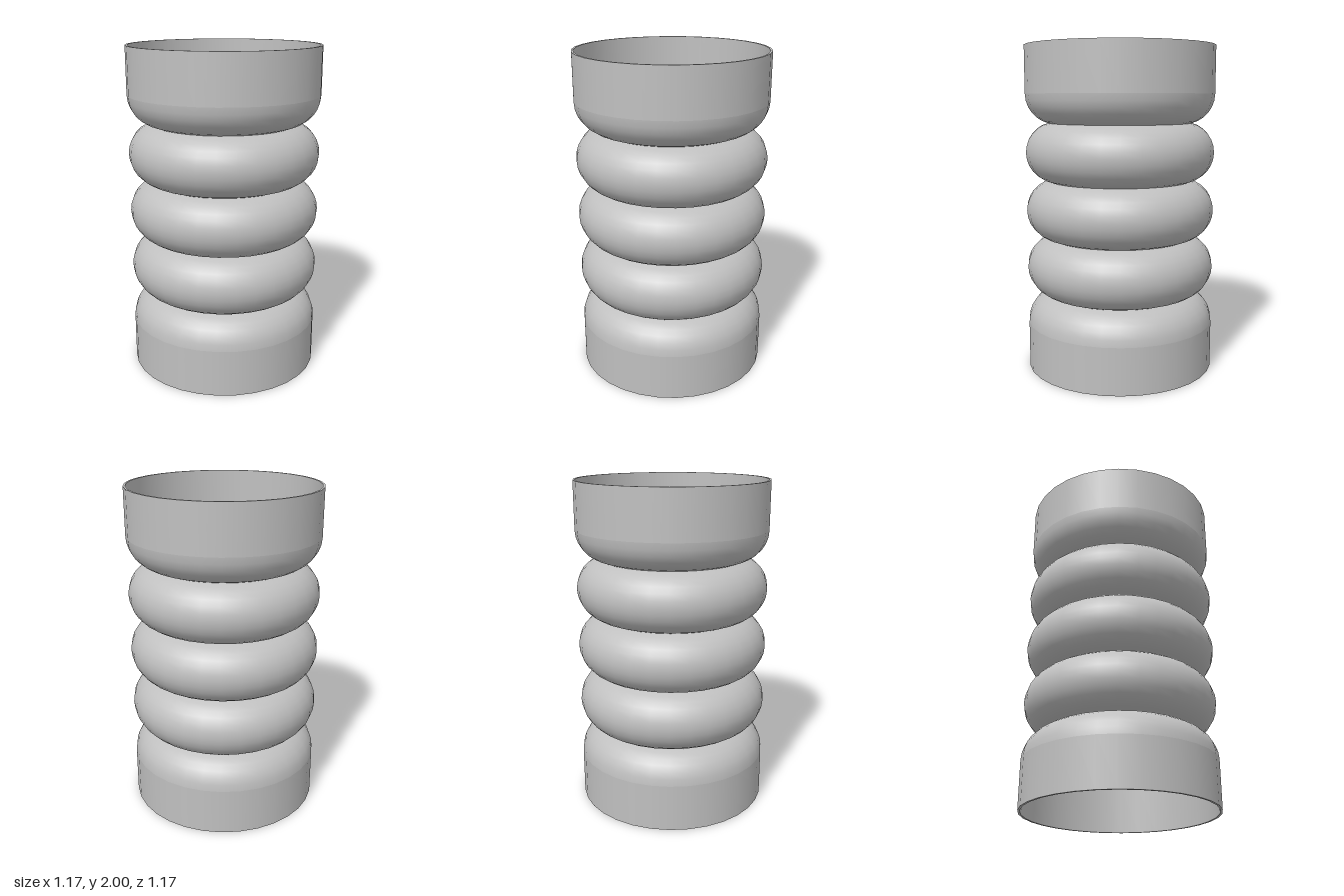
import * as THREE from 'three';

const R = 0.583;       // outer radius
const VALLEY = 0.443;  // radius at the grooves
const WALL = 0.013;
const HALF = 0.178;    // half the height of one bulge
const PITCH = 2 * HALF;
const SIDES = 32;

export function createModel() {
  const group = new THREE.Group();
  group.name = 'bellowsTube';
  const grey = new THREE.MeshStandardMaterial({ color: 0xc0c0c0 });
  grey.name = 'grey';

  const lathe = (name, pts) => {
    const points = pts.map(([r, y]) => new THREE.Vector2(r, y));
    const mesh = new THREE.Mesh(new THREE.LatheGeometry(points, SIDES), grey);
    mesh.name = name;
    group.add(mesh);
  };

  // Outer skin runs upward; inner skin is the same profile shifted inward and reversed
  const shell = (name, pts) => {
    lathe(name + 'Outside', pts);
    lathe(name + 'Inside', pts.map(([r, y]) => [r - WALL, y]).reverse());
  };

  // Circular arc of one bulge, between fractions of its half height
  const depth = R - VALLEY;
  const arcR = (HALF * HALF + depth * depth) / (2 * depth);
  const maxA = Math.asin(HALF / arcR);
  const arc = (centre, from, to, steps) => {
    const pts = [];
    for (let i = 0; i <= steps; i++) {
      const a = maxA * (from + (to - from) * i / steps);
      pts.push([R - arcR + arcR * Math.cos(a), centre + arcR * Math.sin(a)]);
    }
    return pts;
  };

  // Three full bulges
  for (let i = -1; i <= 1; i++) shell('bulge', arc(1 + i * PITCH, -1, 1, 12));

  // Straight collars with rounded shoulders
  const low = 1 - 2 * PITCH, high = 1 + 2 * PITCH;
  shell('lowerCollar', [[R, 0], [R, low]]);
  shell('lowerShoulder', arc(low, 0, 1, 6));
  shell('upperShoulder', arc(high, -1, 0, 6));
  shell('upperCollar', [[R, high], [R, 2]]);

  // Flat rims closing the wall
  lathe('lowerRim', [[R - WALL, 0], [R, 0]]);
  lathe('upperRim', [[R, 2], [R - WALL, 2]]);
  return group;
}
